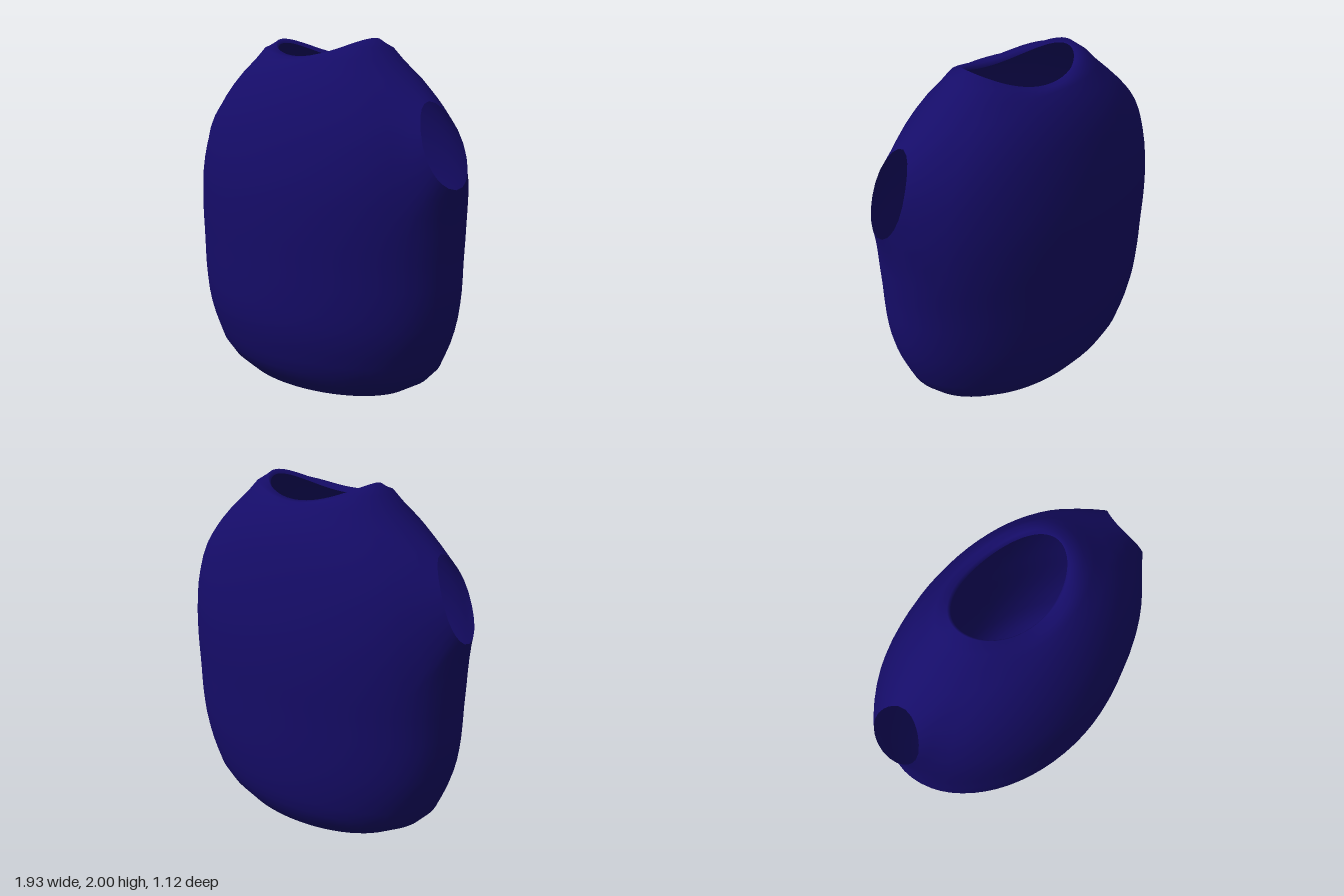
import * as THREE from 'three';

const COLS = 64, ROWS = 25, BODY_TOP = 1.88;
const HOLE_ROW = 19, HOLE = 3, WINDOW = 6; // armhole placement, in grid steps
const SIDE_Z = -0.045;                     // side seams and collar sit a little behind centre

// Body profile: height, half width, front z, back z
const PROFILE = [
  [0.00, 0.595, 0.34, -0.41], [0.10, 0.75, 0.44, -0.48], [0.22, 0.82, 0.49, -0.515],
  [0.40, 0.885, 0.54, -0.54], [0.58, 0.914, 0.555, -0.55], [0.78, 0.922, 0.56, -0.555],
  [1.00, 0.932, 0.563, -0.56], [1.22, 0.924, 0.552, -0.55], [1.40, 0.885, 0.52, -0.525],
  [1.53, 0.828, 0.485, -0.498], [1.68, 0.718, 0.425, -0.455], [1.80, 0.602, 0.355, -0.40],
  [1.88, 0.512, 0.285, -0.345]
];
const profile = new THREE.CubicInterpolant(
  new Float32Array(PROFILE.map((p) => p[0])),
  new Float32Array(PROFILE.flatMap((p) => p.slice(1))), 3);

// Point on the body at an angle (0 = left side, PI/2 = front) and a height
function bodyPoint(angle, y, scale = 1) {
  const [w, front, back] = profile.evaluate(Math.min(Math.max(y, 0), BODY_TOP));
  const c = Math.cos(angle), s = Math.sin(angle);
  const centre = THREE.MathUtils.lerp((front + back) / 2, SIDE_Z, c * c);
  return [scale * w * c - 0.012, y, centre + scale * (front - back) / 2 * s];
}

// Point on the collar, which dips at front and back
function neckPoint(angle, scale, drop) {
  const c = Math.cos(angle), s = Math.sin(angle);
  return [scale * 0.36 * c - 0.012, 1.9 + 0.1 * c * c - drop, SIDE_Z + scale * 0.228 * s];
}

// Signed steps from the nearest armhole centre
function armholeOffset(i, j) {
  const half = COLS / 2;
  const u = ((i + half / 2) % half) - half / 2;
  return [u, j - HOLE_ROW];
}

// Bends the square grid around each armhole into a round, slightly flared opening
function gridPoint(i, j) {
  const [u, v] = armholeOffset(i, j);
  const m = Math.max(Math.abs(u), Math.abs(v));
  const side = Math.sign(Math.cos(i / COLS * Math.PI * 2));
  let du = 0, dv = 0, flare = 0;
  if (m >= HOLE && m < WINDOW) {
    const near = (WINDOW - m) / (WINDOW - HOLE);
    const round = m / Math.hypot(u, v) - 1;
    du = (u * round + 0.8 * side) * near;
    dv = (v * round + 0.22) * near;
    flare = 0.045 * near * near * side;
  }
  const p = bodyPoint((i + du) / COLS * Math.PI * 2, (j + dv) * BODY_TOP / ROWS);
  p[0] += flare;
  return p;
}

function createGarmentGeometry() {
  // Rings from the turned-in bottom hem up to the turned-in collar
  const rings = [(i, a) => {
    const p = bodyPoint(a, 0, 0.975);
    p[1] = 0.02;
    return p;
  }];
  for (let j = 0; j <= ROWS; j++) rings.push((i) => gridPoint(i, j));
  // Rounded shoulder between body and collar
  rings.push((i, a) => {
    const p = bodyPoint(a, BODY_TOP), q = neckPoint(a, 1.03, 0);
    const mid = p.map((value, k) => (value + q[k]) / 2);
    mid[1] += 0.005 + 0.022 * Math.sin(2 * a) ** 2;
    return mid;
  });
  rings.push((i, a) => neckPoint(a, 1.01, 0));
  rings.push((i, a) => neckPoint(a, 0.96, 0.025));

  const positions = [], index = [];
  rings.forEach((ring, r) => {
    for (let i = 0; i < COLS; i++) {
      positions.push(...ring(i, i / COLS * Math.PI * 2));
      if (r === rings.length - 1) continue;

      // Leave the armholes open
      const [u, v] = armholeOffset(i + 0.5, r - 0.5);
      if (Math.abs(u) < HOLE && Math.abs(v) < HOLE) continue;

      const next = (i + 1) % COLS;
      const a = r * COLS + i, b = r * COLS + next;
      index.push(a, a + COLS, b, b, a + COLS, b + COLS);
    }
  });

  const geometry = new THREE.BufferGeometry();
  geometry.setAttribute('position', new THREE.Float32BufferAttribute(positions, 3));
  geometry.setIndex(index);
  geometry.computeVertexNormals();
  return geometry;
}

export function createModel() {
  const group = new THREE.Group();
  group.name = 'sleevelessGarment';
  const cloth = new THREE.MeshStandardMaterial({ color: 0x150c68, side: THREE.DoubleSide });
  const body = new THREE.Mesh(createGarmentGeometry(), cloth);
  body.name = 'garmentBody';
  group.add(body);
  return group;
}
